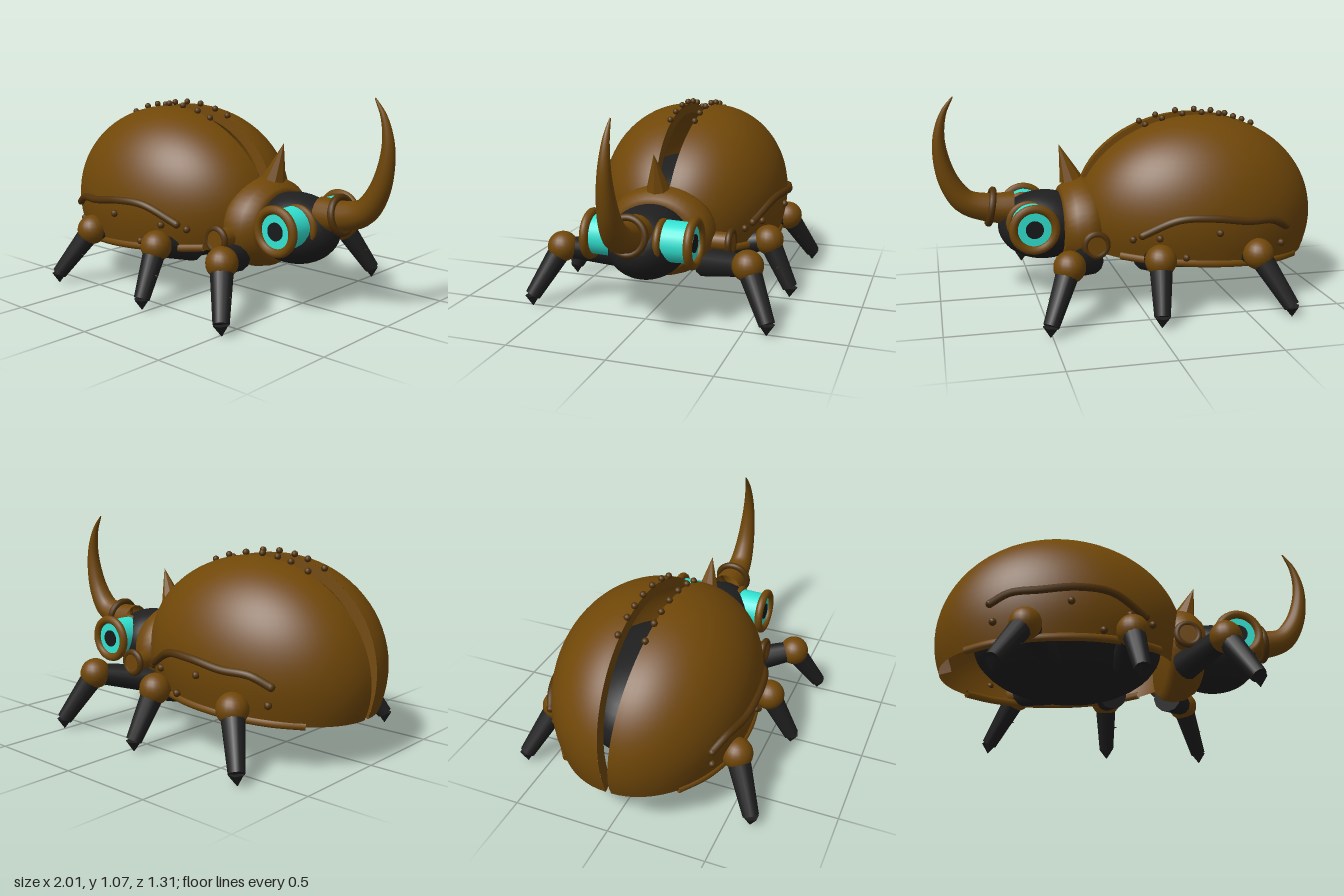
import * as THREE from 'three';

const V = (x, y, z) => new THREE.Vector3(x, y, z);
const mat = (name, color, side = THREE.FrontSide) => {
  const m = new THREE.MeshStandardMaterial({ color, side });
  m.name = name;
  return m;
};

export function createModel() {
  const bronze = mat('bronze', 0x704708, THREE.DoubleSide);
  const darkBronze = mat('dark bronze', 0x503208);
  const iron = mat('iron', 0x1f1f20);
  const glass = mat('turquoise glass', 0x32e2d2);
  const pupilBlack = mat('pupil black', 0x18191a);

  const root = new THREE.Group();
  root.name = 'hornedBeetle';

  const add = (name, geo, material, pos, parent = root) => {
    const m = new THREE.Mesh(geo, material);
    m.name = name;
    if (pos) m.position.copy(pos);
    parent.add(m);
    return m;
  };
  const ball = (name, r, material, pos, parent, seg = 16) =>
    add(name, new THREE.SphereGeometry(r, seg, Math.ceil(seg * 0.7)), material, pos, parent);
  const ellipsoid = (name, pos, rx, ry, rz, material) => {
    const m = add(name, new THREE.SphereGeometry(1, 32, 22), material, pos);
    m.scale.set(rx, ry, rz);
    return m;
  };
  // Tapered cylinder from a to b
  const rod = (name, a, b, ra, rb, material, parent, seg = 12) => {
    const d = b.clone().sub(a);
    const m = add(name, new THREE.CylinderGeometry(rb, ra, d.length(), seg), material,
      a.clone().add(b).multiplyScalar(0.5), parent);
    m.quaternion.setFromUnitVectors(V(0, 1, 0), d.normalize());
    return m;
  };
  // Ring around an axis
  const ring = (name, pos, axis, R, r, material, parent) => {
    const m = add(name, new THREE.TorusGeometry(R, r, 10, 32), material, pos, parent);
    m.quaternion.setFromUnitVectors(V(0, 0, 1), axis.clone().normalize());
    return m;
  };

  // Shell surface: a half ellipsoid that leans outwards towards the top
  const C = V(-0.36, 0.4, 0), R = V(0.64, 0.55, 0.48);
  const gap = (y) => 0.022 + 0.08 * Math.max(-0.1, y - 0.4);
  const sideZ = (x, y) => {
    const u = (x - C.x) / R.x, v = (y - C.y) / R.y;
    return gap(y) + R.z * Math.sqrt(Math.max(0, 1 - u * u - v * v));
  };
  // Moves a unit shape onto the shell, its lower edge rising to the front
  const toShell = (geo, s) => {
    const p = geo.attributes.position;
    for (let i = 0; i < p.count; i++) {
      const x = C.x + R.x * p.getX(i), ny = p.getY(i);
      const y = C.y + R.y * ny + 0.035 * (x + 0.97) * (1 - ny);
      p.setXYZ(i, x, y, s * gap(y) + R.z * p.getZ(i));
    }
    geo.computeVertexNormals();
    return geo;
  };

  // Body
  ellipsoid('belly', V(-0.32, 0.4, 0), 0.49, 0.275, 0.42, iron);
  ellipsoid('head', V(0.45, 0.39, 0), 0.24, 0.18, 0.2, iron);

  // Pronotum, a bowl narrowing towards the head
  const bowl = [[0, 0.17], [0.2, 0.175], [0.228, 0.21], [0.235, 0.26], [0.222, 0.315],
    [0.19, 0.36], [0.17, 0.372], [0.14, 0.365]].map(([r, x]) => new THREE.Vector2(r, x));
  const pronotum = add('pronotum', new THREE.LatheGeometry(bowl, 40), bronze, V(0, 0.393, 0));
  pronotum.rotation.z = -Math.PI / 2;
  pronotum.scale.z = 1.22;

  // Crest spike
  const spike = rod('crestSpike', V(0.305, 0.625, 0), V(0.365, 0.81, 0), 0.06, 0, bronze, root, 8);
  spike.geometry = spike.geometry.toNonIndexed();
  spike.geometry.computeVertexNormals();

  // Horn, a tube that tapers along its curve
  const path = new THREE.CatmullRomCurve3([
    V(0.61, 0.485, 0), V(0.74, 0.495, 0), V(0.85, 0.53, 0), V(0.92, 0.62, 0),
    V(0.96, 0.74, 0), V(0.97, 0.87, 0), V(0.942, 0.99, 0), V(0.893, 1.07, 0)]);
  const N = 32, sides = 16;
  const horn = new THREE.TubeGeometry(path, N, 1, sides);
  const p = horn.attributes.position, q = V(0, 0, 0);
  for (let i = 0; i < p.count; i++) {
    const t = Math.floor(i / (sides + 1)) / N, c = path.getPointAt(t);
    const r = 0.003 + 0.083 * Math.pow(1 - t, 0.85);
    q.fromBufferAttribute(p, i).sub(c).multiplyScalar(r).add(c);
    p.setXYZ(i, q.x, q.y, q.z);
  }
  add('horn', horn, bronze);
  ring('hornRing', V(0.725, 0.497, 0), V(1, 0.18, 0), 0.087, 0.018, darkBronze);

  for (const s of [1, -1]) {
    const half = new THREE.Group();
    half.name = s > 0 ? 'leftSide' : 'rightSide';
    root.add(half);

    // Wing case with an inner lip along the seam
    const shell = new THREE.SphereGeometry(1, 36, 24, s > 0 ? 0 : Math.PI, Math.PI, 0, 1.907);
    add('wingCase', toShell(shell, s), bronze, null, half);
    const lip = new THREE.RingGeometry(0.9, 1, 40, 1, -0.336, Math.PI + 0.672);
    add('seamLip', toShell(lip, s), bronze, null, half);

    // Lower trim along the wing case
    const trim = [];
    for (let i = 0; i <= 8; i++) {
      const x = -0.83 + i * 0.117, y = 0.22 + 0.06 * (x + 0.97);
      trim.push(V(x, y, s * (sideZ(x, y) - 0.01)));
    }
    add('lowerTrim', new THREE.TubeGeometry(new THREE.CatmullRomCurve3(trim), 32, 0.02, 8),
      bronze, null, half);

    // Side pipe with rounded ends
    const pipe = [[-0.73, 0.42], [-0.64, 0.465], [-0.5, 0.475], [-0.32, 0.5], [-0.15, 0.495], [0.02, 0.41]]
      .map(([x, y]) => V(x, y, s * (sideZ(x, y) + 0.01)));
    add('sidePipe', new THREE.TubeGeometry(new THREE.CatmullRomCurve3(pipe), 40, 0.02, 8),
      darkBronze, null, half);
    for (const e of [pipe[0], pipe[5]]) ball('pipeEnd', 0.02, darkBronze, e, half, 10);

    // Rivets
    for (const [x, y] of [[-0.71, 0.33], [-0.35, 0.425], [-0.19, 0.3], [-0.06, 0.4], [0.06, 0.385]])
      ball('sideRivet', 0.019, darkBronze, V(x, y, s * (sideZ(x, y) + 0.005)), half, 10);
    for (const x of [-0.66, -0.56, -0.48, -0.385, -0.28, -0.17, -0.08]) {
      const y = C.y + R.y * Math.sqrt(1 - ((x - C.x) / R.x) ** 2) + 0.012;
      ball('seamRivet', 0.017, darkBronze, V(x, y, s * 0.068), half, 10);
    }

    // Eye: glass barrel, two rings and a pupil
    const Z = V(0, 0, 1), eye = (z) => V(0.53, 0.43, s * z);
    rod('eyeBarrel', eye(0.115), eye(0.262), 0.102, 0.098, glass, half, 24);
    ring('eyeOuterRing', eye(0.262), Z, 0.106, 0.022, bronze, half);
    ring('eyeInnerRing', eye(0.108).add(V(0.015, 0, 0)), Z, 0.094, 0.018, bronze, half);
    rod('pupil', eye(0.26), eye(0.268), 0.045, 0.045, pupilBlack, half, 20);

    // Side vent
    const vent = (z) => V(0.24, 0.36, s * z);
    rod('ventPipe', vent(0.27), vent(0.375), 0.048, 0.048, bronze, half, 20);
    ring('ventRing', vent(0.362), Z, 0.055, 0.017, darkBronze, half);

    // Legs: hip x, knee x, tip x
    for (const [name, hx, kx, tx] of [['rearLeg', -0.4, -0.56, -0.7],
      ['middleLeg', -0.05, -0.055, -0.03], ['frontLeg', 0.25, 0.395, 0.51]]) {
      const leg = new THREE.Group();
      leg.name = name;
      half.add(leg);
      const hip = V(hx, 0.245, s * 0.23), knee = V(kx, 0.3, s * 0.49), tip = V(tx, 0.003, s * 0.615);
      const ankle = knee.clone().lerp(V(tx, 0.05, s * 0.62), 0.97);
      rod('thigh', hip, knee, 0.075, 0.055, iron, leg);
      ball('knee', 0.079, bronze, knee, leg, 20);
      rod('shin', knee, ankle, 0.06, 0.04, iron, leg);
      rod('claw', ankle, tip, 0.04, 0.002, iron, leg, 6);
      const mid = knee.clone().lerp(ankle, 0.5);
      rod('shinSpur', mid, mid.clone().add(V(0.065, -0.01, 0)), 0.016, 0, darkBronze, leg, 6);
    }
  }
  return root;
}
